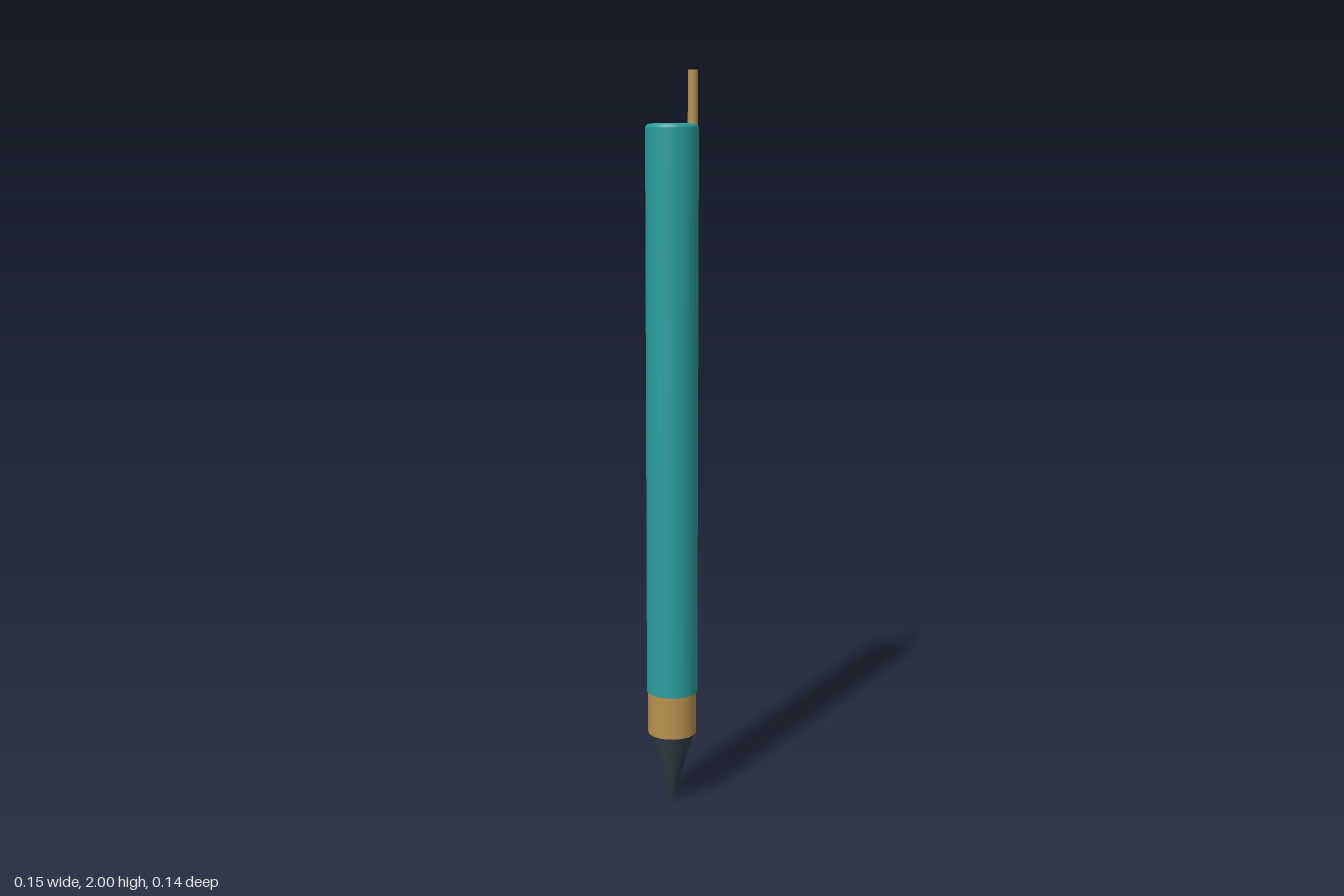
import * as THREE from 'three';

export function createModel() {
  const group = new THREE.Group();
  const teal = new THREE.MeshStandardMaterial({ color: 0x2a9d9d });
  const brass = new THREE.MeshStandardMaterial({ color: 0xb8924f });
  const dark = new THREE.MeshStandardMaterial({ color: 0x2f3e46 });
  const axisX = -0.007;

  const add = (name, geometry, material, x, y) => {
    const mesh = new THREE.Mesh(geometry, material);
    mesh.name = name;
    mesh.position.set(x, y, 0);
    group.add(mesh);
  };

  // Upright cylinder or cone between two heights
  const rod = (name, rTop, rBottom, y0, y1, material, x = axisX, sides = 48) =>
    add(name, new THREE.CylinderGeometry(rTop, rBottom, y1 - y0, sides), material, x, (y0 + y1) / 2);

  // Barrel with a softly rounded top edge
  const profile = [[0, 0.32], [0.07, 0.32], [0.07, 1.85], [0.069, 1.855], [0.066, 1.859], [0.06, 1.862], [0, 1.863]]
    .map(([r, y]) => new THREE.Vector2(r, y));
  // Doubled corner keeps the lower rim crisp
  profile.splice(2, 0, new THREE.Vector2(0.07, 0.3205));
  add('barrel', new THREE.LatheGeometry(profile, 48), teal, axisX, 0);

  // Metal collar and writing tip
  rod('collar', 0.067, 0.067, 0.2, 0.322, brass);
  rod('tip', 0.062, 0.004, 0, 0.2, dark);

  // Pocket clip rod along the left side, standing above the barrel
  rod('clip', 0.0135, 0.0135, 1.513, 2, brass, 0.063, 24);

  return group;
}
